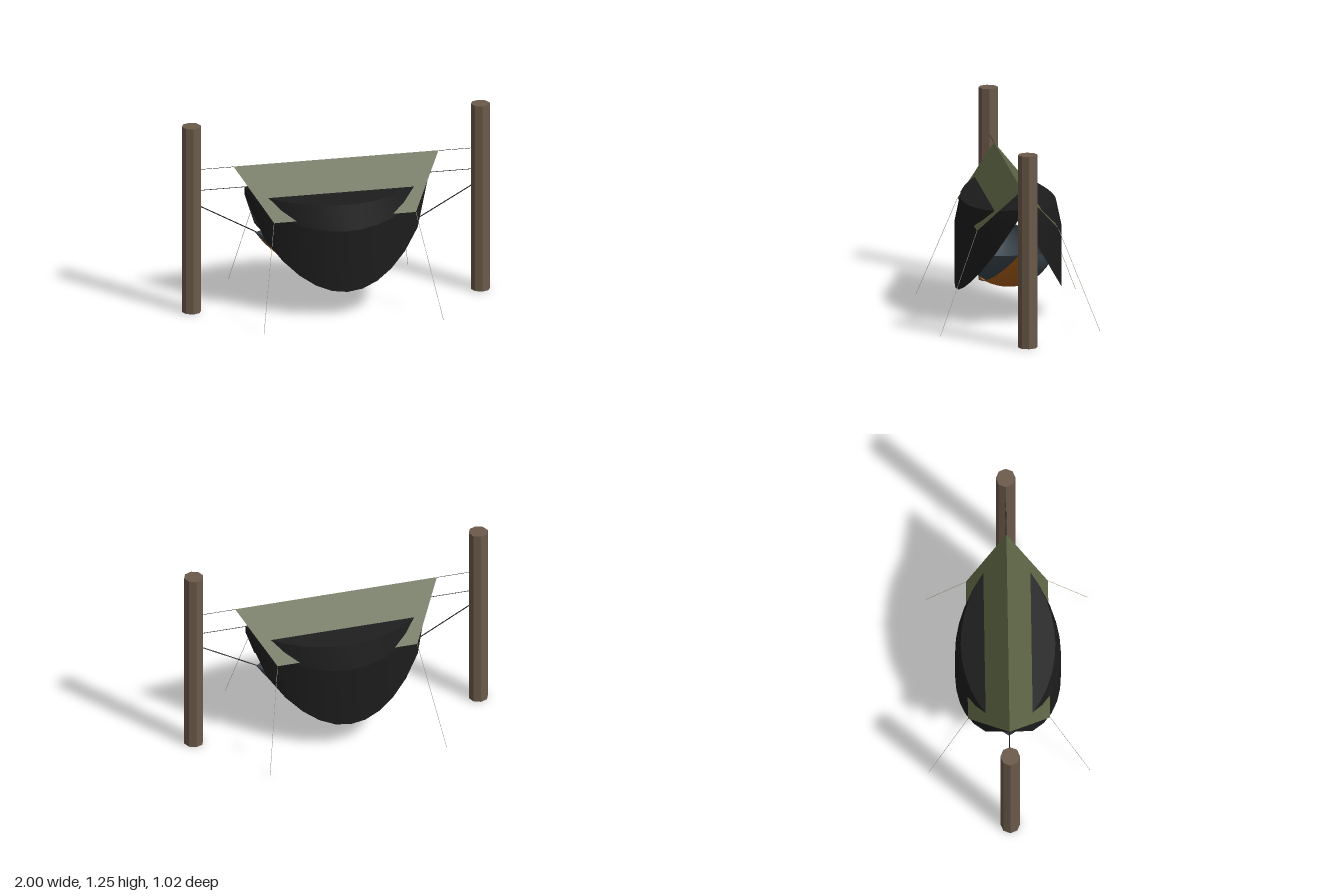
import * as THREE from 'three';

const mat = (name, color, extra = {}) => {
  const m = new THREE.MeshStandardMaterial({ color, ...extra });
  m.name = name;
  return m;
};

// Grid surface from fn(u, v) -> [x, y, z], with u and v from 0 to 1
function sheet(fn, nu, nv) {
  const pos = [], index = [];
  for (let i = 0; i <= nu; i++)
    for (let j = 0; j <= nv; j++) pos.push(...fn(i / nu, j / nv));
  for (let i = 0; i < nu; i++)
    for (let j = 0; j < nv; j++) {
      const a = i * (nv + 1) + j, b = a + nv + 1;
      index.push(a, b, a + 1, b, b + 1, a + 1);
    }
  const g = new THREE.BufferGeometry();
  g.setAttribute('position', new THREE.Float32BufferAttribute(pos, 3));
  g.setIndex(index);
  g.computeVertexNormals();
  return g;
}

// Thin straight cord between two points
function cord(a, b, r) {
  const p = new THREE.Vector3(...a), q = new THREE.Vector3(...b);
  return new THREE.TubeGeometry(new THREE.LineCurve3(p, q), 1, r, 5);
}

export function createModel() {
  const root = new THREE.Group();
  root.name = 'hammockCamp';
  const two = { side: THREE.DoubleSide };
  const bark = mat('bark brown', 0x6b5a4a, { flatShading: true });
  const olive = mat('olive tarp', 0x5a6142, two);
  const black = mat('black netting', 0x1c1c1c, two);
  const slate = mat('slate fabric', 0x3a444c, two);
  const orange = mat('orange quilt', 0xb0621c, two);
  const dark = mat('dark strap', 0x1a1a1a);
  const tan = mat('pale cord', 0xb8ae98);

  const add = (name, geo, material, parent = root) => {
    const m = new THREE.Mesh(geo, material);
    m.name = name;
    parent.add(m);
    return m;
  };

  // Posts with the lines tied to them
  for (const s of [-1, 1]) {
    const side = s > 0 ? 'left' : 'right';
    add(side + 'Post', new THREE.CylinderGeometry(0.0625, 0.0625, 1.25, 8), bark)
      .position.set(s * 0.9375, 0.625, 0);
    add(side + 'Suspension', cord([s * 0.515, 0.5, 0], [s * 0.9, 0.715, 0], 0.0035), dark);
    add(side + 'TarpLine', cord([s * 0.66, 0.953, 0], [s * 0.9, 0.953, 0], 0.0015), dark);
  }
  add('netRidgeLine', cord([-0.9, 0.812, 0], [0.9, 0.812, 0], 0.002), dark);

  // Tarp: two sloping trapezoids meeting at the ridge, with guy lines
  for (const f of [-1, 1]) {
    const end = f > 0 ? 'front' : 'back';
    add(end + 'TarpPanel', sheet((u, v) => [
      (u * 2 - 1) * (0.665 - 0.205 * v), 0.955 - 0.305 * v, f * 0.26 * v,
    ].map((c, k) => (k === 0 ? c * -f : c)), 1, 1), olive);
    for (const s of [-1, 1])
      add(end + 'GuyLine', cord([s * 0.46, 0.65, f * 0.26], [s * 0.582, 0.002, f * 0.51], 0.0015), tan);
  }

  // Netting: each profile point is [y at the ends, drop at the middle, z at the middle]
  const profile = [[0.81, 0, 0], [0.81, 0.06, 0.3], [0.795, 0.21, 0.335], [0.765, 0.59, 0.335]];
  const net = new THREE.Group();
  net.name = 'bugNet';
  root.add(net);
  const bulge = (u, p) => Math.pow(Math.max(0, Math.sin(Math.PI * u)), p);
  for (const f of [-1, 1])
    for (let k = 0; k < 3; k++) {
      const at = (p, s) => [p[0] - p[1] * s, f * p[2] * s];
      add('netPanel', sheet((u, v) => {
        const s = bulge(u, 0.6);
        const [y0, z0] = at(profile[k], s), [y1, z1] = at(profile[k + 1], s);
        return [-f * (u * 2 - 1) * 0.595, y0 + (y1 - y0) * v, z0 + (z1 - z0) * v];
      }, 12, 1), black, net);
    }

  // Hammock bed and the quilt slung just beneath it
  const bed = (halfAngle, grow) => sheet((u, v) => {
    const s = bulge(u, 0.8), a = (v * 2 - 1) * halfAngle;
    return [
      (u * 2 - 1) * 0.525,
      0.5 - s * (0.07 + 0.24 * grow * Math.cos(a)),
      s * 0.28 * grow * Math.sin(a),
    ];
  }, 20, 12);
  add('hammockBed', bed(Math.PI / 2, 1), slate);
  add('underQuilt', bed(0.65, 1.025), orange);

  return root;
}
